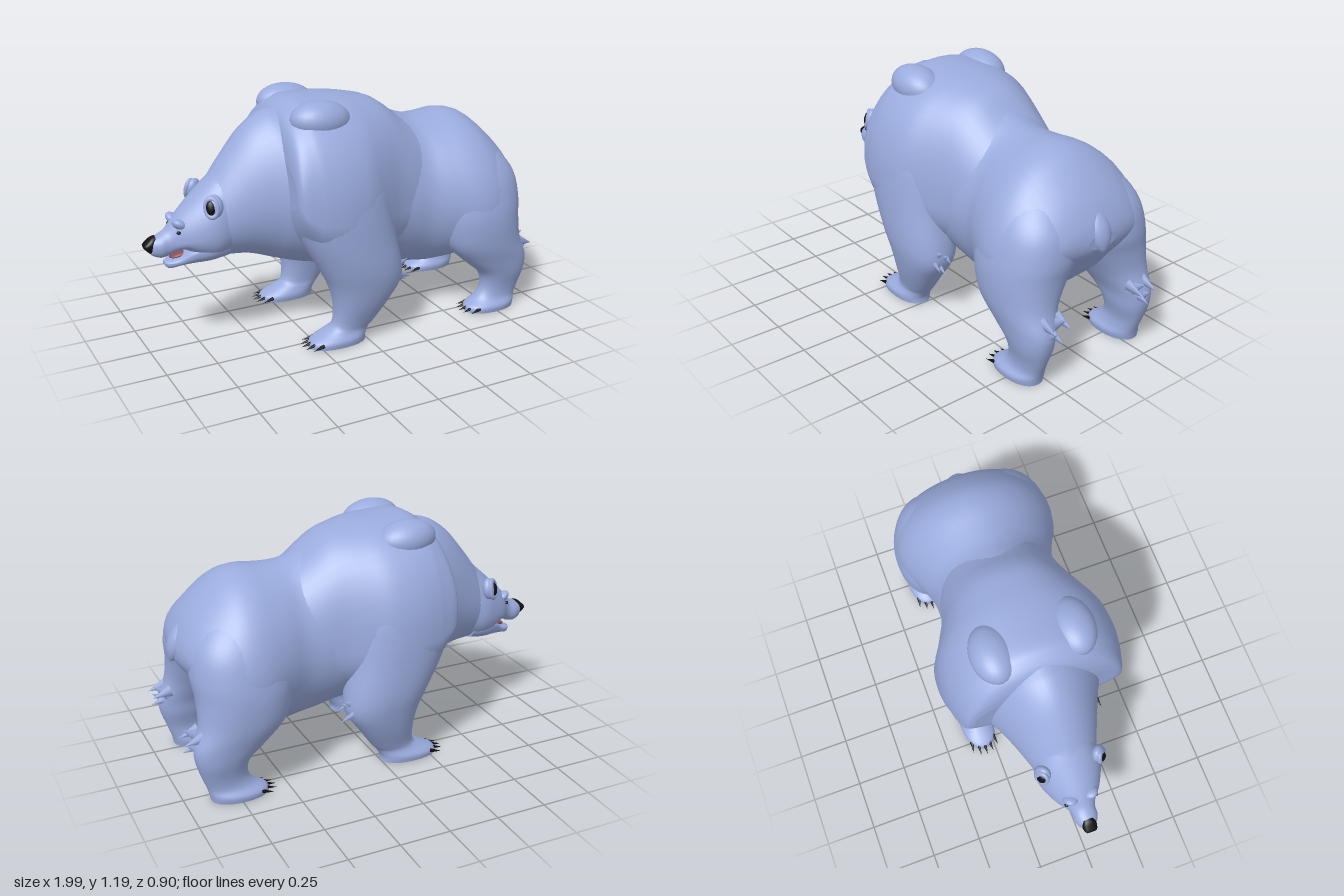
import * as THREE from 'three';

const fur = new THREE.MeshStandardMaterial({ color: 0x9aabdd });
const black = new THREE.MeshStandardMaterial({ color: 0x111111 });
const red = new THREE.MeshStandardMaterial({ color: 0x8a4a55 });

const sp = (v, n) => Math.sign(v) * Math.pow(Math.abs(v), 2 / n);

// Catmull-Rom resampling of a list of section rows
function resample(rows, k) {
  const out = [];
  const at = (i) => rows[Math.min(Math.max(i, 0), rows.length - 1)];
  for (let i = 0; i < rows.length - 1; i++) {
    for (let s = 0; s < k; s++) {
      const t = s / k;
      out.push(rows[i].map((_, c) => {
        const [a, b, d, e] = [at(i - 1)[c], at(i)[c], at(i + 1)[c], at(i + 2)[c]];
        return b + 0.5 * t * (d - a + t * (2 * a - 5 * b + 4 * d - e + t * (3 * (b - d) + e - a)));
      }));
    }
  }
  out.push(rows[rows.length - 1]);
  return out;
}

// Closed skin over rings; point(row, cos, sin) places one ring vertex
function loft(rows, point, k = 4, seg = 48) {
  const rings = resample(rows, k), pos = [], idx = [];
  for (const r of rings) {
    for (let j = 0; j < seg; j++) {
      const a = (j / seg) * Math.PI * 2;
      pos.push(...point(r, Math.cos(a), Math.sin(a)));
    }
  }
  for (let i = 0; i < rings.length - 1; i++) {
    for (let j = 0; j < seg; j++) {
      const a = i * seg + j, b = i * seg + (j + 1) % seg;
      idx.push(a, a + seg, b + seg, a, b + seg, b);
    }
  }
  // end caps with their own vertices, so their rims stay crisp
  for (const [ri, flip] of [[0, false], [rings.length - 1, true]]) {
    const base = pos.length / 3;
    const c = [0, 0, 0];
    for (let j = 0; j < seg; j++) {
      for (let m = 0; m < 3; m++) {
        const v = pos[(ri * seg + j) * 3 + m];
        c[m] += v / seg;
        pos.push(v);
      }
    }
    pos.push(...c);
    for (let j = 0; j < seg; j++) {
      const a = base + j, b = base + (j + 1) % seg;
      idx.push(base + seg, flip ? b : a, flip ? a : b);
    }
  }
  const g = new THREE.BufferGeometry();
  g.setAttribute('position', new THREE.Float32BufferAttribute(pos, 3));
  g.setIndex(idx);
  g.computeVertexNormals();
  return g;
}

// Rows [x, top, bottom, halfWidth, height of widest point] along the body
const alongX = (rows, nTop, nLow) => loft(rows, ([x, t, b, w, m], c, s) => {
  const n = s > 0 ? nTop : nLow;
  return [x, m + (s > 0 ? t - m : m - b) * sp(s, n), w * sp(c, n)];
});

// Rows [y, front, back, inner, outer] going up a limb
const alongY = (rows, side, n) => loft(rows, ([y, f, b, i, o], c, s) =>
  [(f + b) / 2 + (b - f) / 2 * sp(c, n), y, side * (i + o) / 2 + (o - i) / 2 * sp(s, n)]);

const BODY = [
  [-0.72, 0.79, 0.46, 0.12, 0.61], [-0.66, 0.85, 0.445, 0.15, 0.63], [-0.6, 0.93, 0.445, 0.175, 0.66],
  [-0.5, 1.05, 0.435, 0.215, 0.7], [-0.41, 1.115, 0.405, 0.255, 0.72], [-0.34, 1.135, 0.38, 0.29, 0.72],
  [-0.2, 1.15, 0.34, 0.33, 0.7], [0.03, 1.14, 0.295, 0.335, 0.65], [0.18, 1.09, 0.275, 0.325, 0.62],
  [0.28, 1.055, 0.25, 0.32, 0.61], [0.38, 1.02, 0.235, 0.325, 0.6], [0.48, 1.015, 0.23, 0.365, 0.6],
  [0.6, 1.023, 0.26, 0.412, 0.57], [0.7, 0.995, 0.34, 0.415, 0.57], [0.8, 0.915, 0.44, 0.38, 0.58],
  [0.87, 0.835, 0.53, 0.31, 0.62], [0.915, 0.755, 0.585, 0.2, 0.66], [0.935, 0.70, 0.62, 0.08, 0.66],
];
const SHOULDERS = [
  [-0.375, 0.98, 0.68, 0.36, 0.77], [-0.365, 1.06, 0.62, 0.39, 0.74], [-0.34, 1.125, 0.55, 0.408, 0.7],
  [-0.29, 1.165, 0.46, 0.425, 0.67], [-0.24, 1.182, 0.4, 0.438, 0.66], [-0.14, 1.182, 0.36, 0.45, 0.65],
  [-0.02, 1.175, 0.35, 0.437, 0.64], [0.08, 1.158, 0.34, 0.39, 0.63], [0.16, 1.138, 0.34, 0.35, 0.62],
  [0.22, 1.105, 0.34, 0.328, 0.62], [0.29, 1.05, 0.34, 0.31, 0.62], [0.36, 1.0, 0.36, 0.29, 0.62],
];
const FRONT_LEG = [
  [0, -0.30, 0.0, 0.22, 0.385], [0.03, -0.29, 0.0, 0.215, 0.388], [0.065, -0.22, 0.02, 0.225, 0.37],
  [0.1, -0.17, 0.05, 0.23, 0.375], [0.2, -0.165, 0.12, 0.21, 0.41], [0.3, -0.19, 0.185, 0.18, 0.435],
  [0.4, -0.24, 0.185, 0.15, 0.45], [0.55, -0.32, 0.155, 0.12, 0.452], [0.68, -0.362, 0.135, 0.1, 0.448],
  [0.78, -0.37, 0.12, 0.09, 0.436], [0.88, -0.36, 0.1, 0.08, 0.405], [1.0, -0.33, 0.05, 0.06, 0.335],
];
const BACK_LEG = [
  [0, 0.60, 0.88, 0.22, 0.385], [0.03, 0.605, 0.885, 0.215, 0.388], [0.065, 0.66, 0.895, 0.23, 0.365],
  [0.12, 0.695, 0.915, 0.235, 0.365], [0.2, 0.68, 0.94, 0.215, 0.385], [0.28, 0.59, 0.945, 0.195, 0.40],
  [0.38, 0.49, 0.91, 0.135, 0.42], [0.5, 0.445, 0.905, 0.055, 0.427], [0.6, 0.43, 0.915, 0.0, 0.415],
  [0.72, 0.44, 0.895, 0.0, 0.38], [0.82, 0.475, 0.83, 0.0, 0.315], [0.92, 0.54, 0.73, 0.0, 0.2],
];
const HEAD = [
  [-0.975, 0.565, 0.515, 0.02, 0.54], [-0.96, 0.583, 0.497, 0.042, 0.54], [-0.925, 0.597, 0.483, 0.058, 0.54],
  [-0.89, 0.618, 0.488, 0.06, 0.545], [-0.86, 0.655, 0.503, 0.072, 0.56], [-0.82, 0.698, 0.515, 0.105, 0.57],
  [-0.76, 0.755, 0.48, 0.138, 0.58], [-0.7, 0.81, 0.45, 0.16, 0.6], [-0.65, 0.855, 0.45, 0.163, 0.61],
  [-0.58, 0.93, 0.46, 0.15, 0.63],
];
const JAW = [
  [-0.905, 0.458, 0.44, 0.018, 0.45], [-0.885, 0.464, 0.422, 0.04, 0.45], [-0.84, 0.48, 0.43, 0.06, 0.46],
  [-0.78, 0.53, 0.437, 0.1, 0.5], [-0.7, 0.56, 0.442, 0.135, 0.52], [-0.62, 0.56, 0.455, 0.13, 0.52],
];
const NOSE = [
  [-1, 0.556, 0.54, 0.022, 0.548], [-0.99, 0.566, 0.527, 0.031, 0.548],
  [-0.965, 0.587, 0.505, 0.036, 0.548], [-0.945, 0.594, 0.52, 0.03, 0.555],
];
const TAIL = [[0, 0], [0.025, 0.02], [0.05, 0.06], [0.058, 0.11], [0.045, 0.16], [0.02, 0.2], [0, 0.21]];

export function createModel() {
  const model = new THREE.Group();
  model.name = 'bear';
  const add = (name, geo, mat = fur, p = [0, 0, 0], scale = [1, 1, 1], rot = [0, 0, 0]) => {
    const m = new THREE.Mesh(geo, mat);
    m.name = name;
    m.position.set(...p);
    m.scale.set(...scale);
    m.rotation.set(...rot);
    model.add(m);
    return m;
  };
  const ball = new THREE.SphereGeometry(1, 28, 18);
  const up = new THREE.Vector3(0, 1, 0);
  // Pointed tuft or claw with its base at p, aimed along dir
  const spike = (name, p, dir, len, rad, mat, flat = 1) => {
    const g = new THREE.ConeGeometry(rad, len, 8).translate(0, len / 2, 0).scale(1, 1, flat);
    add(name, g, mat, p).quaternion.setFromUnitVectors(up, new THREE.Vector3(...dir).normalize());
  };

  add('body', alongX(BODY, 1.85, 2));
  add('shoulders', alongX(SHOULDERS, 2.25, 2.1));
  add('head', alongX(HEAD, 2, 2.2));
  add('lowerJaw', alongX(JAW, 2.3, 2.3));
  add('tongue', ball, red, [-0.83, 0.487, 0], [0.05, 0.012, 0.04], [0, 0, 0.3]);
  add('nose', alongX(NOSE, 2.5, 2), black);

  // Teardrop tail hanging down the rump
  const tailCurve = new THREE.SplineCurve(TAIL.map((p) => new THREE.Vector2(...p)));
  add('tail', new THREE.LatheGeometry(tailCurve.getPoints(24).map((p) => p.setX(Math.max(p.x, 0))), 24),
    fur, [0.945, 0.6, 0], [0.75, 1, 1], [0, 0, 0.36]);

  for (const s of [1, -1]) {
    const side = s > 0 ? 'left' : 'right';
    add(side + 'FrontLeg', alongY(FRONT_LEG, s, 2.25));
    add(side + 'BackLeg', alongY(BACK_LEG, s, 2.2));
    add(side + 'ShoulderBlade', ball, fur, [-0.18, 1.1, s * 0.195], [0.15, 0.092, 0.105], [0, 0, -0.08]);

    // Round ear with a raised rim and dark hollow
    const turn = [-s * 0.25, -s * 0.6, 0];
    add(side + 'Ear', ball, fur, [-0.695, 0.742, s * 0.14], [0.042, 0.055, 0.03], turn);
    add(side + 'EarRim', new THREE.TorusGeometry(0.036, 0.011, 10, 28), fur,
      [-0.712, 0.74, s * 0.15], [0.85, 1.2, 1], turn);
    add(side + 'EarHollow', ball, black, [-0.717, 0.74, s * 0.153], [0.022, 0.034, 0.014], turn);

    // Brow and eye
    add(side + 'Brow', ball, fur, [-0.832, 0.642, s * 0.048], [0.045, 0.024, 0.038], [0, s * 0.4, -0.6]);
    add(side + 'Eye', ball, black, [-0.85, 0.615, s * 0.074], [0.01, 0.008, 0.01]);

    // Five claws fanned across each foot
    for (const [leg, x] of [['Front', -0.27], ['Back', 0.63]]) {
      for (let i = -2; i <= 2; i++) {
        const z = s * 0.302 + i * 0.03;
        spike(side + leg + 'Claw', [x - 0.01 + 0.008 * i * i, 0.022, z], [-1, -0.2, i * 0.08], 0.062, 0.011, black);
      }
    }

    // Ragged fur at the elbow and hock
    for (let i = 0; i < 5; i++) {
      spike(side + 'ElbowTuft', [0.145, 0.35 - 0.025 * (i % 3), s * (0.29 + 0.016 * i)],
        [1, i % 2 ? 0.5 : -0.35, s * 0.1], 0.085, 0.03, fur, 0.6);
      spike(side + 'HockTuft', [0.9, 0.34 - 0.028 * (i % 4), s * (0.22 + 0.022 * i)],
        [0.9, i % 2 ? 0.6 : -0.25, 0], 0.095, 0.034, fur, 0.6);
    }
  }
  return model;
}
